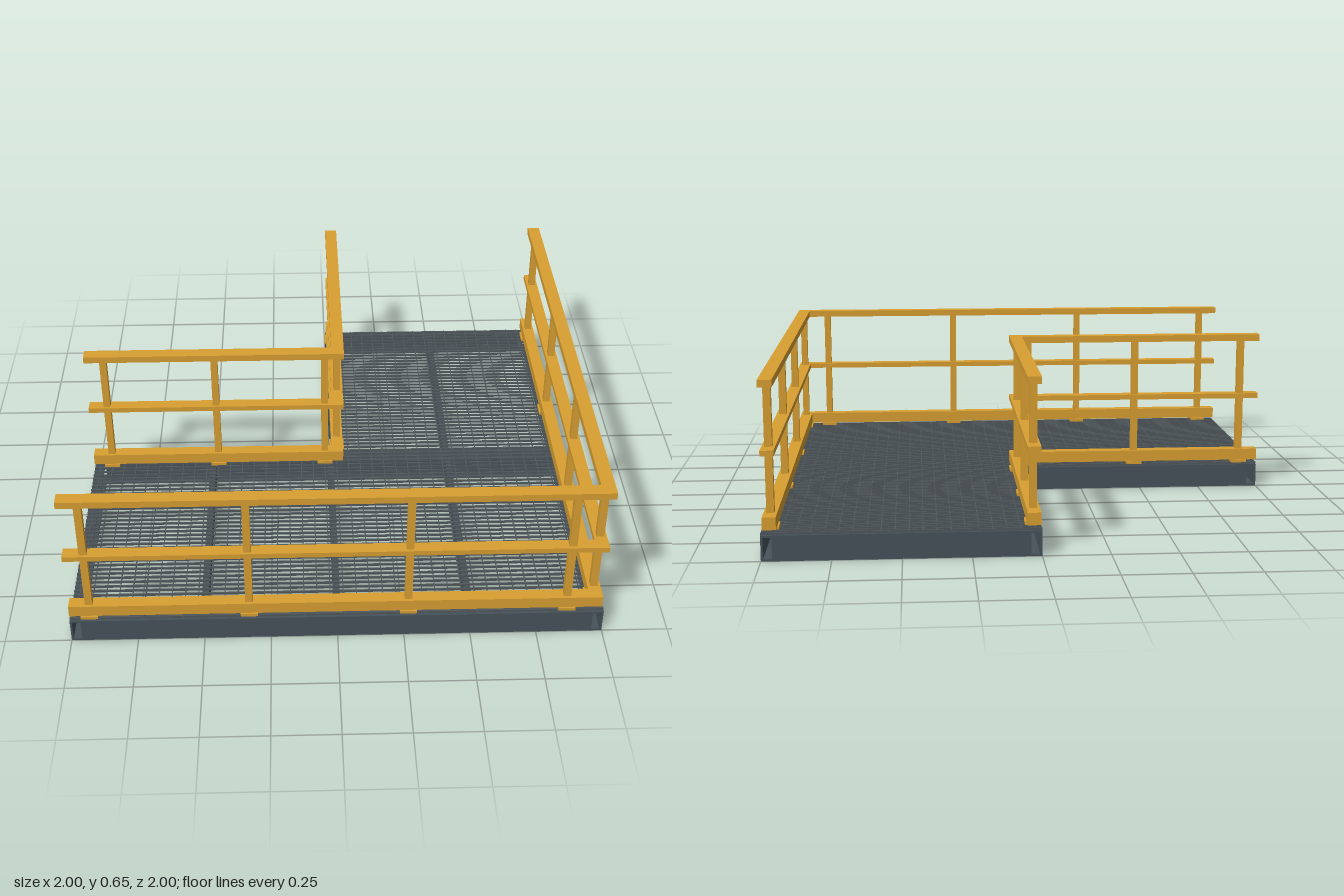
import * as THREE from 'three';
import { mergeGeometries } from 'three/addons/utils/BufferGeometryUtils.js';

const steel = new THREE.MeshStandardMaterial({ color: 0x46535a });
const grateSteel = new THREE.MeshStandardMaterial({ color: 0x50585c });
const yellow = new THREE.MeshStandardMaterial({ color: 0xd9a032 });

const DECK = 0.094; // top of the beams

// Box given by its min and max corners
function box(x0, x1, y0, y1, z0, z1) {
  return new THREE.BoxGeometry(x1 - x0, y1 - y0, z1 - z0)
    .translate((x0 + x1) / 2, (y0 + y1) / 2, (z0 + z1) / 2);
}

function mesh(name, geometries, material) {
  const m = new THREE.Mesh(mergeGeometries(geometries), material);
  m.name = name;
  return m;
}

// C-channel along local x, web on the +z side, flanges pointing to -z
function channel(length) {
  const w = 0.04, t = 0.008;
  const s = new THREE.Shape();
  [[0, 0], [w, 0], [w, t], [t, t], [t, DECK - t], [w, DECK - t], [w, DECK], [0, DECK]]
    .forEach(([x, y], i) => (i ? s.lineTo(x, y) : s.moveTo(x, y)));
  return new THREE.ExtrudeGeometry(s, { depth: length, bevelEnabled: false })
    .translate(0, 0, -length / 2).rotateY(Math.PI / 2);
}

// Rectangular frame of four channels with cross beams at the given x
function frame(name, x0, x1, z0, z1, beams) {
  const cx = (x0 + x1) / 2, cz = (z0 + z1) / 2, w = 0.04;
  const group = new THREE.Group();
  group.name = name;
  const sides = [
    [x1 - x0 - 2 * w, 0, cx, z1], [x1 - x0 - 2 * w, Math.PI, cx, z0],
    [z1 - z0, Math.PI / 2, x1, cz], [z1 - z0, -Math.PI / 2, x0, cz],
  ];
  // extruded channels have the web at z = 0 and flanges toward -z
  group.add(mesh('perimeterChannels', sides.map(([len, turn, x, z]) =>
    channel(len).rotateY(turn).translate(x, 0, z)), steel));
  group.add(mesh('crossBeams', beams.map((x) =>
    box(x - 0.0125, x + 0.0125, 0.01, DECK, z0 + 0.008, z1 - 0.008)), steel));
  return group;
}

// Bar grating: upright bearing bars along x, thin cross rods along z
function grating(name, x0, x1, z0, z1) {
  const parts = [];
  const bars = Math.round((z1 - z0) / 0.025);
  for (let i = 0; i < bars; i++) {
    const z = z0 + (i + 0.5) * 0.025;
    parts.push(box(x0, x1, DECK, 0.103, z - 0.0025, z + 0.0025));
  }
  const rods = Math.round((x1 - x0) / 0.05);
  for (let i = 0; i < rods; i++) {
    const x = x0 + (i + 0.5) * 0.05;
    parts.push(box(x - 0.002, x + 0.002, 0.098, 0.102, z0 + 0.005, z1 - 0.005));
  }
  return mesh(name, parts, grateSteel);
}

// Guard rail from a to b along x or z, centred on the line "across"
function guardRail(name, axis, a, b, across, posts) {
  const along = (s0, s1, y0, y1, c, width) => axis === 'x'
    ? box(s0, s1, y0, y1, c - width / 2, c + width / 2)
    : box(c - width / 2, c + width / 2, y0, y1, s0, s1);
  const group = new THREE.Group();
  group.name = name;
  group.add(
    mesh('topRail', [along(a, b, 0.625, 0.652, across, 0.051)], yellow),
    mesh('midRail', [along(a, b, 0.38, 0.401, across, 0.049)], yellow),
    mesh('toeBoard', [along(a, b, 0.114, 0.16, across, 0.049)], yellow),
    mesh('posts', posts.map((p) => along(p - 0.014, p + 0.014, 0.11, 0.63, across, 0.028)), yellow),
    mesh('basePlates', posts.map((p) => along(p - 0.032, p + 0.032, 0.103, 0.115, across, 0.062)), yellow),
  );
  return group;
}

export function createModel() {
  const model = new THREE.Group();
  model.name = 'cornerPlatform';
  model.add(
    // L-shaped deck
    frame('frontFrame', -1, 1, 0, 1, [-0.5, 0, 0.5]),
    frame('rearFrame', 0, 1, -1, 0, [0.5]),
    grating('frontGrating', -1, 1, 0, 1),
    grating('rearGrating', 0, 1, -1, 0),
    // Railings on the outer and inner corners
    guardRail('frontRailing', 'x', -1, 0.993, 0.968, [-0.925, -0.33, 0.265, 0.86]),
    guardRail('leftRailing', 'z', -1, 0.993, 0.968, [-0.92, -0.31, 0.305, 0.915]),
    guardRail('innerBackRailing', 'x', -1, 0.053, 0.028, [-0.925, -0.475, -0.025]),
    guardRail('innerSideRailing', 'z', -1, 0.053, 0.028, [-0.92, -0.495, -0.07]),
  );
  return model;
}
